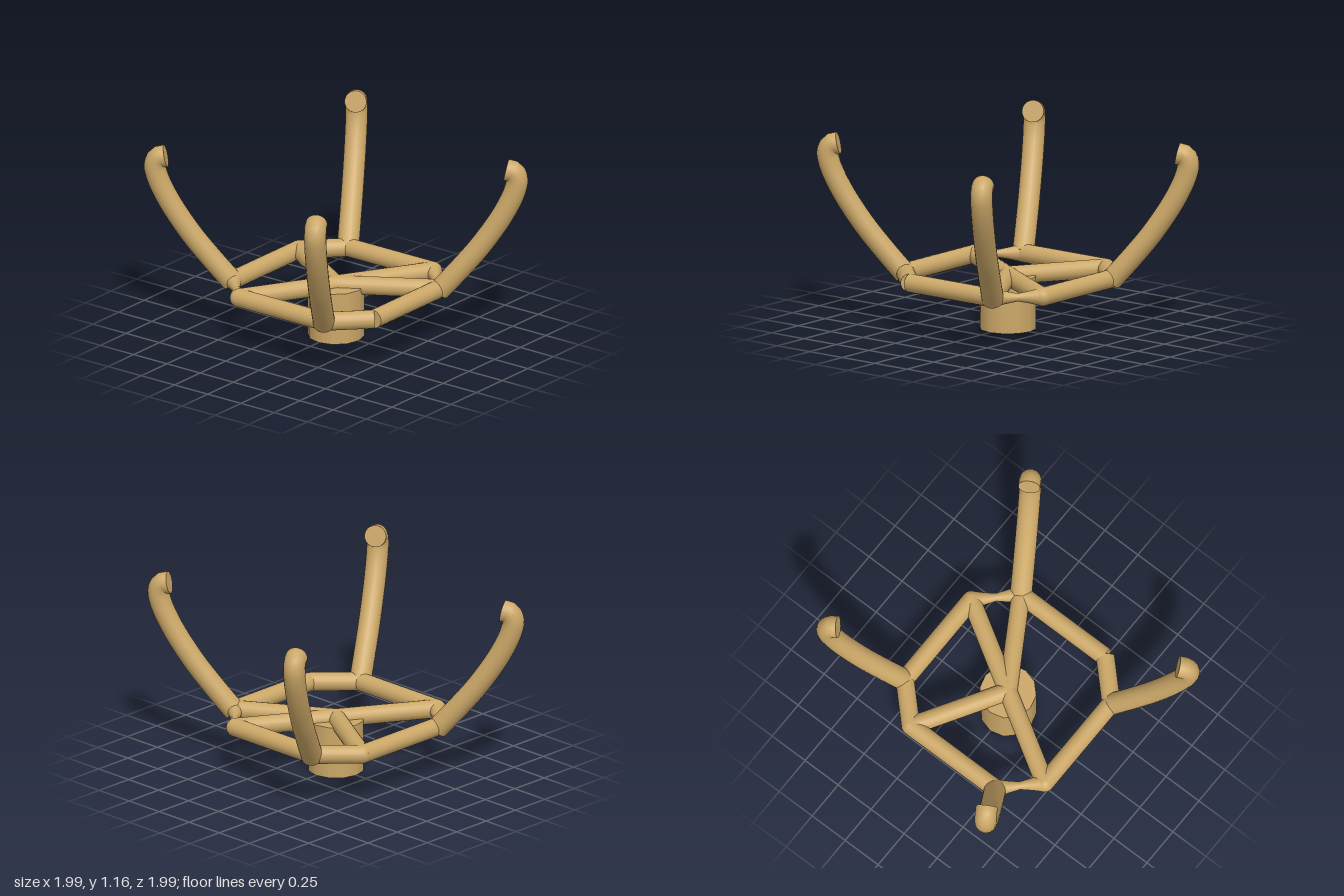
import * as THREE from 'three';

export function createModel() {
  const model = new THREE.Group();
  const material = new THREE.MeshStandardMaterial({ color: 0xcca868, side: THREE.DoubleSide });
  const A = 0.32, B = 0.53, Y = 0.32, BAR = 0.056, ARM = 0.066;

  function add(name, geometry) {
    const mesh = new THREE.Mesh(geometry, material);
    mesh.name = name;
    model.add(mesh);
    return mesh;
  }

  // Lay a y-aligned geometry of the given length between two points
  function between(mesh, a, b) {
    mesh.position.copy(a).lerp(b, 0.5);
    mesh.quaternion.setFromUnitVectors(new THREE.Vector3(0, 1, 0), b.clone().sub(a).normalize());
    return mesh;
  }
  const bar = (name, a, b, r = BAR) =>
    between(add(name, new THREE.CylinderGeometry(r, r, a.distanceTo(b), 20)), a, b);

  // Hourglass strut for the two pinched corners
  function pinchedBar(name, a, b) {
    const L = a.distanceTo(b);
    const profile = [[BAR, -0.5], [0.038, -0.25], [0.024, 0], [0.038, 0.25], [BAR, 0.5]]
      .map(([r, t]) => new THREE.Vector2(r, t * L));
    between(add(name, new THREE.LatheGeometry(profile, 20)), a, b);
  }

  // Central hub
  add('hub', new THREE.CylinderGeometry(0.17, 0.17, 0.32, 12)).position.y = 0.16;

  // Eight-cornered ring, left open at its first corner
  const corners = [[-A, B], [A, B], [B, A], [B, -A], [A, -B], [-A, -B], [-B, -A], [-B, A]]
    .map(([x, z]) => new THREE.Vector3(x, Y, z));
  corners.forEach((p, i) => {
    const q = corners[(i + 1) % 8];
    if (i === 1 || i === 5) pinchedBar('ringPinchedCorner', p, q);
    else bar('ringBar', p, q);
    if (i > 0) add('ringJoint', new THREE.SphereGeometry(BAR, 20, 12)).position.copy(p);
  });

  // Spokes from the hub to four ring corners
  const centre = new THREE.Vector3(0, Y, 0);
  add('spokeJoint', new THREE.SphereGeometry(BAR, 20, 12)).position.copy(centre);
  for (const i of [1, 2, 4, 6]) bar('spoke', centre, corners[i]);

  // Curved arms with inward hooked tips: points are [distance from axis, height]
  const path = [[0.62, 0.31], [0.75, 0.46], [0.87, 0.61], [1.0, 0.81], [1.07, 0.96],
    [1.085, 1.04], [1.065, 1.085], [1.02, 1.095]];
  for (const i of [1, 3, 5, 7]) {
    const out = corners[i].clone().setY(0).normalize();
    const points = path.map(([r, y]) => out.clone().multiplyScalar(r).setY(y));
    const curve = new THREE.CatmullRomCurve3(points);
    add('arm', new THREE.TubeGeometry(curve, 48, ARM, 20));
    // Flat caps on both ends
    for (const t of [0, 1]) {
      const cap = add('armCap', new THREE.CircleGeometry(ARM, 20));
      const dir = curve.getTangentAt(t).multiplyScalar(t ? 1 : -1);
      cap.position.copy(curve.getPointAt(t));
      cap.quaternion.setFromUnitVectors(new THREE.Vector3(0, 0, 1), dir);
    }
  }
  return model;
}
